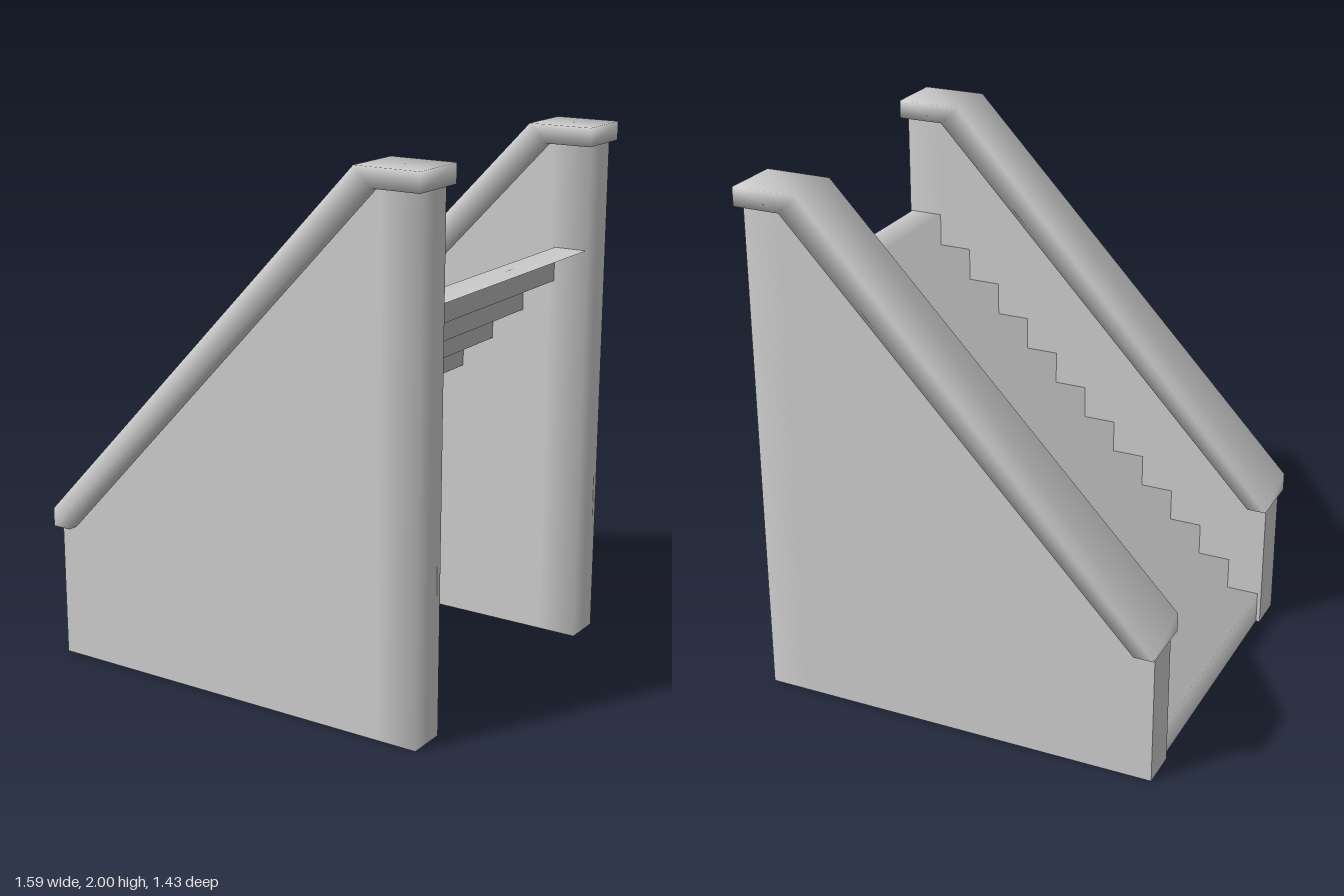
import * as THREE from 'three';
import { mergeVertices } from 'three/addons/utils/BufferGeometryUtils.js';

const stone = new THREE.MeshStandardMaterial({ color: 0xcccccc, side: THREE.DoubleSide });
stone.name = 'pale grey stone';

// Sheet spanned between two edges; each row is [pointA, pointB, normal]
function sheet(rows) {
  const pos = [], nor = [], idx = [];
  rows.forEach(([a, b, n], i) => {
    const unit = new THREE.Vector3(...n).normalize().toArray();
    pos.push(...a, ...b);
    nor.push(...unit, ...unit);
    const k = 2 * i;
    if (i < rows.length - 1) idx.push(k, k + 1, k + 3, k, k + 3, k + 2);
  });
  const g = new THREE.BufferGeometry();
  g.setAttribute('position', new THREE.Float32BufferAttribute(pos, 3));
  g.setAttribute('normal', new THREE.Float32BufferAttribute(nor, 3));
  g.setIndex(idx);
  return g;
}

function mesh(name, geometry) {
  const m = new THREE.Mesh(geometry, stone);
  m.name = name;
  return m;
}

// Folded sheet of twelve steps, softly shaded across the folds
function makeSteps() {
  const count = 12, step = 0.1282, x0 = -0.77, w = 0.525;
  const rows = [];
  for (let i = 0; i <= 2 * count; i++) {
    const x = x0 + Math.floor(i / 2) * step;
    const y = Math.ceil(i / 2) * step;
    const n = i === 0 ? [-1, 0, 0] : i === 2 * count ? [0, 1, 0] : [-1, 1, 0];
    rows.push([[x, y, -w], [x, y, w], n]);
  }
  return mesh('steps', sheet(rows));
}

// Hollow side wall: sloping top, softened upright at the high end
function makeWall() {
  const t = 0.075, low = -0.785, bend = 0.62, high = 0.775;
  const column = (x, z, n) => [[x, 0, z], [x, x === low ? 0.56 : 1.95, z], n];
  const wall = new THREE.Group();
  wall.name = 'sideWall';
  wall.add(mesh('wallBody', sheet([
    column(low, -t, [0, 0, -1]),
    column(bend, -t, [0, 0, -1]),
    column(high, -t, [1, 0, -1]),
    column(high, 0, [1, 0, 0]),
    column(high, t, [1, 0, 1]),
    column(bend, t, [0, 0, 1]),
    column(low, t, [0, 0, 1]),
  ])));
  wall.add(mesh('wallLowEnd', sheet([
    column(low, t, [-1, 0, 0]),
    column(low, -t, [-1, 0, 0]),
  ])));
  return wall;
}

// Sloping coping with a level top end, smooth over all its edges
function makeCoping() {
  const profile = [
    [-0.795, 0.52], [-0.72, 0.52], [0.61, 1.93], [0.79, 1.93],
    [0.79, 2], [0.54, 2], [-0.795, 0.59],
  ].map(([x, y]) => new THREE.Vector2(x, y));
  let g = new THREE.ExtrudeGeometry(new THREE.Shape(profile), { depth: 0.228, bevelEnabled: false });
  g.translate(0, 0, -0.114);
  g.deleteAttribute('normal');
  g.deleteAttribute('uv');
  g = mergeVertices(g);
  g.computeVertexNormals();
  return mesh('coping', g);
}

export function createModel() {
  const model = new THREE.Group();
  model.name = 'staircase';
  model.add(makeSteps());

  // Matching walls and copings on both sides
  for (const s of [1, -1]) {
    const side = new THREE.Group();
    side.name = s > 0 ? 'frontSide' : 'backSide';
    side.add(makeWall(), makeCoping());
    side.position.z = s * 0.6;
    model.add(side);
  }
  return model;
}
